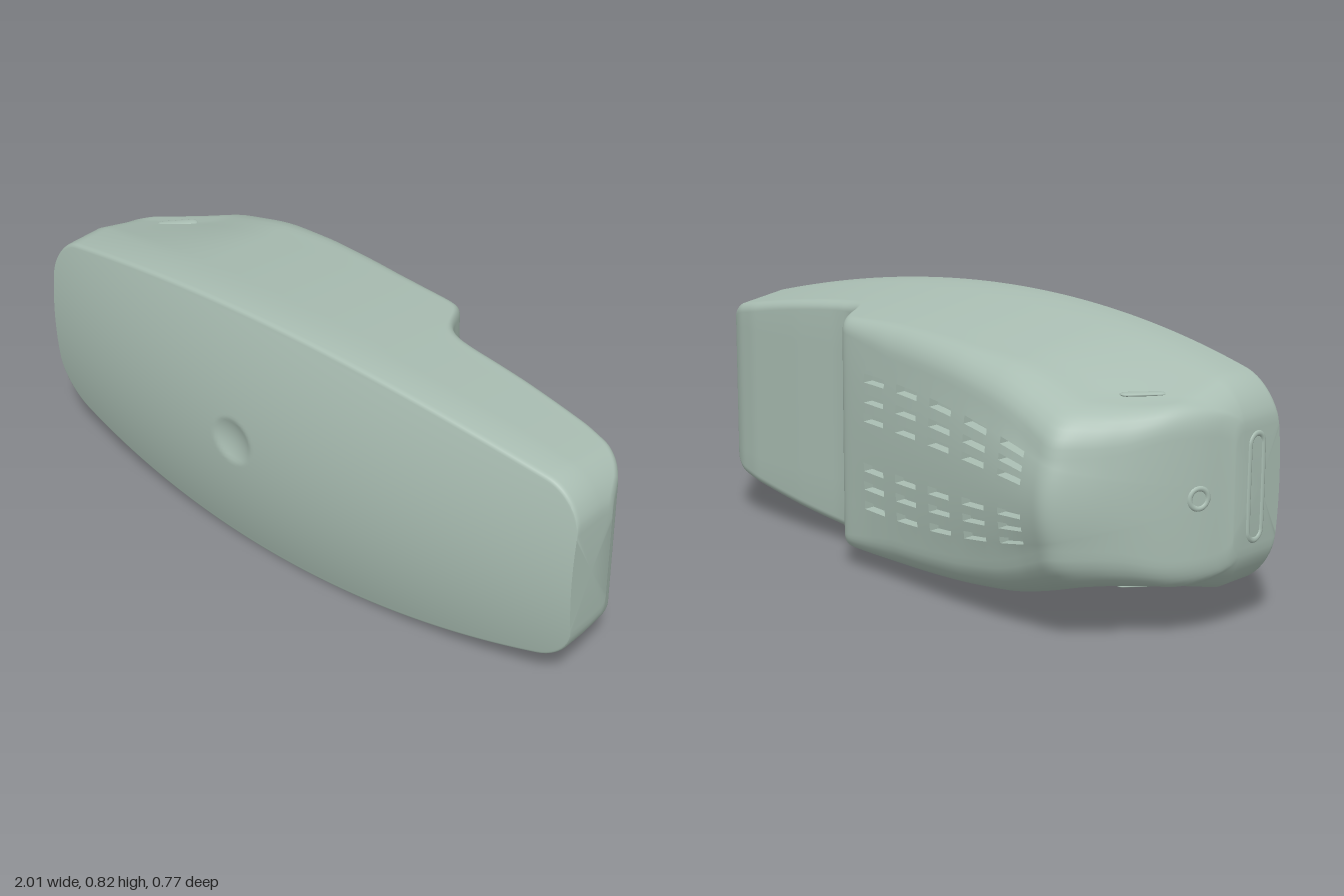
import * as THREE from 'three';
import { toCreasedNormals } from 'three/addons/utils/BufferGeometryUtils.js';

const MID = 0.41; // height of the symmetry plane
const { clamp, smoothstep } = THREE.MathUtils;

// piecewise linear table lookup, softened by a small averaging window
function lookup(table, x, soft = 0.016) {
  const at = (v) => {
    v = clamp(v, -1, 1);
    const i = Math.max(1, table.findIndex(([end]) => v <= end));
    const [x0, y0] = table[i - 1], [x1, y1] = table[i];
    return y0 + (y1 - y0) * (v - x0) / (x1 - x0);
  };
  return (at(x - soft) + at(x - soft / 2) + at(x) + at(x + soft / 2) + at(x + soft)) / 5;
}

// back profile in plan: deep housing, step, thin grip
const BACK = [[-1, 0.13], [-0.985, 0.06], [-0.96, -0.01], [-0.92, -0.09], [-0.87, -0.17], [-0.81, -0.255],
  [-0.76, -0.315], [-0.73, -0.343], [-0.7, -0.352], [-0.66, -0.343], [0.2, -0.17], [0.23, -0.162], [0.25, -0.145],
  [0.27, -0.095], [0.29, -0.055], [0.32, -0.027], [0.36, -0.012], [0.42, -0.005], [0.6, 0], [0.82, 0.012],
  [0.9, 0.028], [0.95, 0.055], [0.985, 0.1], [1, 0.16]];
// size of the rounded back edges, and crown of the back face
const ROUND_Y = [[-1, 0.05], [-0.85, 0.12], [-0.7, 0.14], [-0.5, 0.12], [-0.3, 0.1], [0, 0.09], [0.2, 0.05], [0.3, 0.03], [1, 0.03]];
const ROUND_Z = [[-1, 0.03], [-0.9, 0.11], [-0.75, 0.19], [-0.55, 0.16], [-0.3, 0.1], [0, 0.07], [0.2, 0.04], [1, 0.025]];
const CROWN = [[-1, 0], [-0.8, 0.02], [-0.6, 0.03], [0.1, 0.01], [0.25, 0], [1, 0]];

// half height of the outline, with rounded corners at both ends
function halfHeight(x) {
  const r = 0.11, d = Math.max(0, Math.abs(x) - (1 - r));
  return 0.41 - 0.136 * x * x - r + Math.sqrt(Math.max(0, r * r - d * d));
}
// sides lean inward behind this line, more strongly at the vented end
const draftStart = (x) => 0.28 - (x < 0 ? 0.14 : 0.08) * x * x;
const sideY = (x, z) => halfHeight(x) - Math.max(0, draftStart(x) - z) * (0.128 + 0.13 * smoothstep(-x, 0.45, 0.85));

// domed front with a thumb dimple
function frontZ(x, y) {
  const q = ((x + 0.13) ** 2 + y * y) / 0.075 ** 2;
  return 0.425 - 0.115 * x * x - 0.07 * (y / 0.41) ** 2 - 0.018 * Math.max(0, 1 - q);
}

// vent layout: row edges in y, column starts in x
const ROWS = [0.204, 0.178, 0.144, 0.118, 0.088, 0.062];
const COLUMNS = [0.02, -0.14, -0.3, -0.46, -0.62], SLOT = 0.1;

// upper half of the cross-section, from front centre to back centre, as [y, z]
function halfSection(x) {
  const pts = [], h = halfHeight(x), r = 0.012, zb = lookup(BACK, x);
  const rz = lookup(ROUND_Z, x), ry = lookup(ROUND_Y, x), crown = lookup(CROWN, x);
  for (let i = 0; i <= 40; i++) {
    const y = (h - r) * i / 40;
    pts.push([y, frontZ(x, y)]);
  }
  const ze = frontZ(x, h - r);
  for (let i = 1; i <= 4; i++) {
    const a = i / 4 * Math.PI / 2;
    pts.push([h - r + r * Math.sin(a), ze - 1.4 * r * (1 - Math.cos(a))]);
  }
  const zs = zb + crown + rz, zd = Math.max(draftStart(x), zs + 0.005);
  for (let i = 0; i <= 6; i++) {
    const z = zd + (zs - zd) * i / 6;
    pts.push([sideY(x, z), z]);
  }
  const yb = sideY(x, zs) - ry;
  for (let i = 1; i <= 8; i++) {
    const a = i / 8 * Math.PI / 2;
    pts.push([yb + ry * Math.cos(a), zs - rz * Math.sin(a)]);
  }
  const k = Math.min(1 - 0.8 * Math.max(0, 0.06 - x) ** 2, yb / 0.215);
  for (const row of [...ROWS, 0.03, 0]) {
    const y = row * k;
    pts.push([y, zb + crown * (y / yb) ** 2]);
  }
  return pts;
}

function bodyGeometry() {
  const xs = [-1, -0.998, -0.995];
  for (let i = -99; i <= 99; i++) xs.push(i / 100);
  xs.push(0.995, 0.998, 1);
  const rings = xs.map((x) => {
    const half = halfSection(x);
    const lower = half.slice(1, -1).reverse().map(([y, z]) => [-y, z]);
    return [...half, ...lower].map(([y, z]) => new THREE.Vector3(x, MID + y, z));
  });
  const n = rings[0].length, H = n / 2 + 1, pos = [];
  const tri = (...v) => v.forEach((p) => pos.push(p.x, p.y, p.z));
  const quad = (a, b, c, d) => { tri(a, b, c); tri(a, c, d); };

  const firstRow = H - 8;
  const isSlot = (i, j) => {
    const x = (xs[i] + xs[i + 1]) / 2, row = (j >= H - 1 ? n - 1 - j : j) - firstRow;
    return (row === 0 || row === 2 || row === 4) && COLUMNS.some((c) => x > c && x < c + SLOT);
  };
  const sink = (p) => p.clone().add(new THREE.Vector3(0, 0, 0.035));
  for (let i = 0; i < xs.length - 1; i++) {
    for (let j = 0; j < n; j++) {
      const k = (j + 1) % n;
      const c = [rings[i][j], rings[i + 1][j], rings[i + 1][k], rings[i][k]];
      if (!isSlot(i, j)) { quad(...c); continue; }
      // recessed vent: floor plus walls where the slot ends
      const f = c.map(sink), next = [[i, j - 1], [i + 1, j], [i, j + 1], [i - 1, j]];
      quad(...f);
      next.forEach(([a, b], e) => {
        const g = (e + 1) % 4;
        if (!isSlot(a, b)) quad(c[e], c[g], f[g], f[e]);
      });
    }
  }
  // flat end caps
  for (const ring of [rings[0], rings[rings.length - 1]]) {
    const centre = new THREE.Vector3(ring[0].x, MID, 0.22);
    ring.forEach((p, j) => {
      const q = ring[(j + 1) % n];
      if (centre.x < 0) tri(centre, p, q); else tri(centre, q, p);
    });
  }
  const g = new THREE.BufferGeometry();
  g.setAttribute('position', new THREE.Float32BufferAttribute(pos, 3));
  // enlarged while creasing, so that close vertices stay distinct
  return toCreasedNormals(g.scale(100, 100, 100), 0.6).scale(0.01, 0.01, 0.01);
}

export function createModel() {
  const group = new THREE.Group();
  const material = new THREE.MeshStandardMaterial({ color: 0xa9bdb2 });
  const add = (name, geometry, x, y, z) => {
    const m = new THREE.Mesh(geometry, material);
    m.name = name;
    m.position.set(x, y, z);
    group.add(m);
    return m;
  };

  add('body', bodyGeometry(), 0, 0, 0);

  // pill-shaped rim on the end face
  const rim = [];
  for (let i = 0; i < 32; i++) {
    const a = i / 32 * Math.PI * 2;
    rim.push(new THREE.Vector3(0, 0.03 * Math.sin(a) + (i <= 16 ? 0.12 : -0.12), 0.03 * Math.cos(a)));
  }
  add('endSlotRim', new THREE.TubeGeometry(new THREE.CatmullRomCurve3(rim, true), 96, 0.01, 8, true), -0.995, MID, 0.2);

  // round socket beside it
  const socket = add('socketRim', new THREE.TorusGeometry(0.028, 0.009, 10, 32), -0.957, MID, 0);
  socket.lookAt(-1.957, MID, -0.4);

  // slim side catches, mirrored top and bottom
  for (const s of [1, -1]) {
    const pad = add(s > 0 ? 'topCatch' : 'bottomCatch', new THREE.CapsuleGeometry(0.018, 0.09, 6, 16),
      -0.795, MID + s * sideY(-0.795, -0.04), -0.04);
    pad.rotation.set(Math.PI / 2, 0, 0.7);
    pad.scale.set(1, 1, 0.3);
  }
  return group;
}
